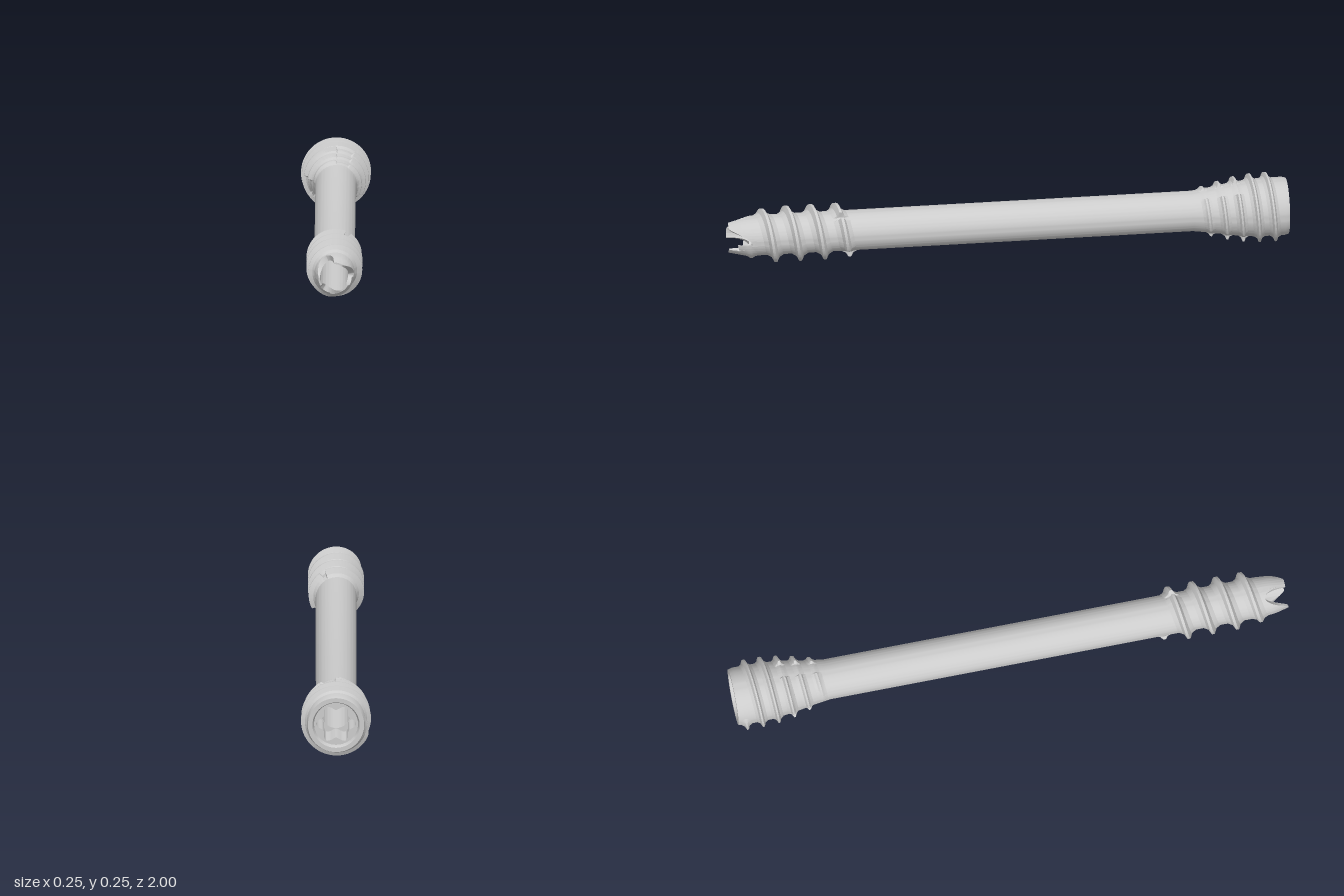
import * as THREE from 'three';
import { toCreasedNormals } from 'three/addons/utils/BufferGeometryUtils.js';

const TAU = Math.PI * 2;
const BORE = 0.05;
const SHAFT = 0.072;
const lerp = THREE.MathUtils.mapLinear;
const mod = (a, b) => ((a % b) + b) % b;
const ease = (x, a, b) => THREE.MathUtils.smoothstep(x, a, b);

// Surface swept around z: f(i, j) returns [angle, radius, z]
function sweep(nu, nv, f, crease) {
  const pos = [], idx = [];
  for (let i = 0; i <= nu; i++) {
    for (let j = 0; j < nv; j++) {
      const [a, r, z] = f(i, j);
      pos.push(r * Math.cos(a), r * Math.sin(a), z);
      if (i < nu && j < nv - 1) {
        const p = i * nv + j, q = p + nv;
        idx.push(p, q, p + 1, q, q + 1, p + 1);
      }
    }
  }
  const g = new THREE.BufferGeometry();
  g.setAttribute('position', new THREE.Float32BufferAttribute(pos, 3));
  g.setIndex(idx);
  return toCreasedNormals(g, crease);
}

// Radius interpolated along a list of [radius, z] stations
function radiusAt(stations, z) {
  for (let k = 1; k < stations.length; k++) {
    const [r0, z0] = stations[k - 1], [r1, z1] = stations[k];
    if (z <= z1) return lerp(Math.max(z, z0), z0, z1, r0, r1);
  }
  return stations[stations.length - 1][0];
}

// Right-handed ridge with flared roots, interrupted by three cutting flutes
function thread({ z0, z1, pitch, phase, core, crest, width, fluted }) {
  const section = [[-1, -0.12], [-0.75, 0.08], [-0.38, 0.35], [-0.13, 1],
    [0.13, 1], [0.38, 0.35], [0.75, 0.08], [1, -0.12]];
  const steps = 108;
  const first = Math.floor(((z0 - phase) / pitch) * steps);
  const count = Math.ceil(((z1 - z0) / pitch) * steps);
  return sweep(count, section.length, (i, j) => {
    const a = ((first + i) / steps) * TAU;
    const zc = phase + (pitch * a) / TAU;
    const fade = Math.min(1, i / 12, (count - i) / 30);
    const inFlute = fluted(zc) && mod(Math.PI / 2 - a, TAU / 3) < 0.6;
    const h = (radiusAt(crest, zc) - radiusAt(core, zc)) * fade * (inFlute ? 0.25 : 1);
    const z = zc + section[j][0] * width;
    return [a, radiusAt(core, z) + h * section[j][1] - 0.0005, z];
  }, 0.5);
}

export function createModel() {
  const screw = new THREE.Group();
  screw.name = 'cannulatedScrew';
  const grey = new THREE.MeshStandardMaterial({ color: 0xcccccc, side: THREE.DoubleSide });
  const add = (name, geometry) => {
    const mesh = new THREE.Mesh(geometry, grey);
    mesh.name = name;
    mesh.position.y = 0.125;
    screw.add(mesh);
  };

  // Core: bore, socket recess, head, shaft
  const headCore = [[0.1, -1], [0.104, -0.985], [0.103, -0.88], [0.094, -0.8],
    [0.08, -0.72], [SHAFT, -0.66]];
  const inside = [[BORE, 0.88], [BORE, -0.87], [0.078, -0.87], [0.078, -0.985], [0.084, -1]];
  const profile = [...inside, ...headCore, [SHAFT, 0.88]];
  const body = new THREE.LatheGeometry(profile.map(([r, z]) => new THREE.Vector2(r, z)), 72);
  body.rotateX(Math.PI / 2);
  add('body', toCreasedNormals(body, 0.5));

  // Six-lobed driver socket
  const ring = new THREE.Shape().absarc(0, 0, 0.0785, 0, TAU, false);
  const lobes = [];
  for (let i = 0; i < 72; i++) {
    const a = (i / 72) * TAU, r = 0.061 + 0.01 * Math.cos(6 * a);
    lobes.push(new THREE.Vector2(r * Math.cos(a), r * Math.sin(a)));
  }
  ring.holes.push(new THREE.Path(lobes));
  const socket = new THREE.ExtrudeGeometry(ring, { depth: 0.115, bevelEnabled: false, curveSegments: 36 });
  socket.translate(0, 0, -0.983);
  add('driverSocket', toCreasedNormals(socket, 0.5));

  // Tip: tapered wall ending in three raked cutting teeth
  const tipCore = [[SHAFT, 0.5], [SHAFT, 0.9], [0.068, 0.95], [0.056, 1]];
  const rows = 10;
  add('cuttingTip', sweep(180, rows * 2, (i, j) => {
    const a = (i / 180) * TAU;
    const u = mod(a - Math.PI / 2 + 1e-6, TAU / 3) / (TAU / 3);
    const cut = u < 0.22 ? Math.sqrt(1 - (1 - u / 0.22) ** 2) : 1 - ease(u, 0.22, 0.75);
    const end = 1 - 0.08 * cut;
    const k = j < rows ? j : rows * 2 - 1 - j;
    const z = lerp(k, 0, rows - 1, 0.87, end);
    return [a, j < rows ? radiusAt(tipCore, z) : BORE, z];
  }, 0.6));

  // Threads: coarse at the tip, finer on the head
  add('tipThread', thread({
    z0: 0.54, z1: 0.935, pitch: 0.088, phase: 0.584, width: 0.036,
    core: tipCore,
    crest: [[0.09, 0.54], [0.1, 0.6], [0.1, 0.85], [0.085, 0.92], [0.07, 0.96]],
    fluted: z => z < 0.6,
  }));
  add('headThread', thread({
    z0: -0.975, z1: -0.68, pitch: 0.0575, phase: -0.944, width: 0.024,
    core: headCore,
    crest: [[0.123, -1], [0.125, -0.95], [0.124, -0.88], [0.114, -0.8], [0.096, -0.73], [0.08, -0.67]],
    fluted: z => z > -0.85,
  }));

  return screw;
}
